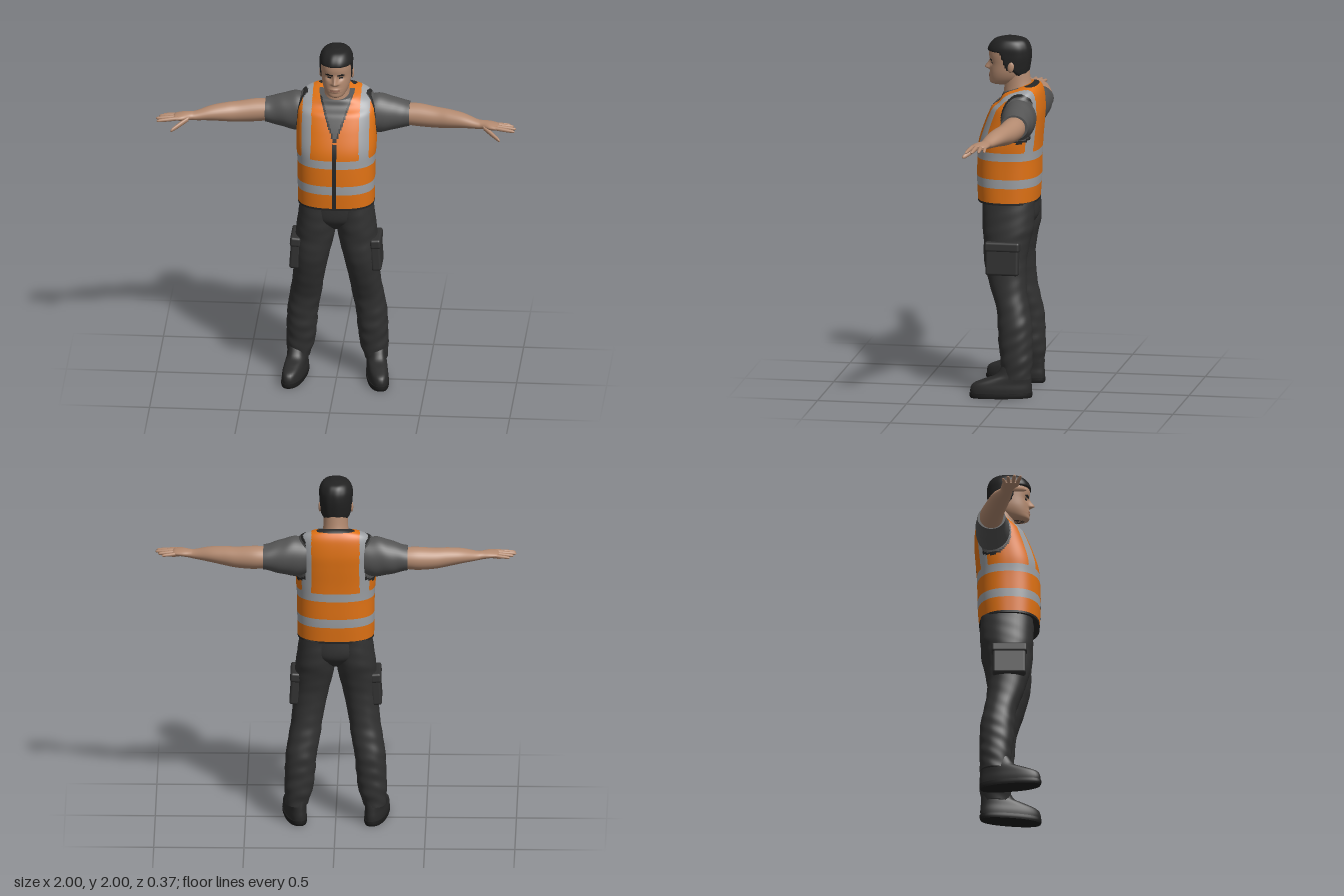
import * as THREE from 'three';
import { RoundedBoxGeometry } from 'three/addons/geometries/RoundedBoxGeometry.js';

const mat = (name, color) => {
  const m = new THREE.MeshStandardMaterial({ color });
  m.name = name;
  return m;
};
const gauss = (v, w) => Math.exp(-(v / w) * (v / w));
const smooth = THREE.MathUtils.smoothstep;

// Smooth closed body through rings [t, c1, c2, r1, r2] along the x or y axis.
// hook(p, centre, angle) reshapes points; pick(p) gives the material index of a face.
function loft(rings, { axis = 'y', seg = 32, rows = 32, n = 2, hook, pick } = {}) {
  const spline = new THREE.CubicInterpolant(rings.map((_, i) => i), rings.flat(), 5);
  const power = (v) => Math.sign(v) * Math.pow(Math.abs(v), 2 / n);
  const pts = [];
  const place = (t, u, v) => (axis === 'y' ? new THREE.Vector3(u, t, v) : new THREE.Vector3(t, u, v));
  const addRow = (k, size) => {
    const [t, c1, c2, r1, r2] = Array.from(spline.evaluate(k));
    const c = place(t, c1, c2);
    for (let j = 0; j < seg; j++) {
      const a = (j / seg) * Math.PI * 2;
      const p = place(t, c1 + size * r1 * power(Math.cos(a)), c2 + size * r2 * power(Math.sin(a)));
      if (hook) hook(p, c, a);
      pts.push(p);
    }
  };
  const last = rings.length - 1;
  addRow(0, 0);
  addRow(0, 1);
  for (let i = 0; i <= rows; i++) addRow((i / rows) * last, 1);
  addRow(last, 1);
  addRow(last, 0);

  const lists = [];
  const mid = new THREE.Vector3();
  for (let i = 0; i < rows + 4; i++) {
    for (let j = 0; j < seg; j++) {
      const a = i * seg + j, c = i * seg + ((j + 1) % seg), b = a + seg, d = c + seg;
      mid.copy(pts[a]).add(pts[b]).add(pts[c]).add(pts[d]).multiplyScalar(0.25);
      const list = (lists[pick ? pick(mid) : 0] ??= []);
      if (axis === 'y') list.push(a, b, c, b, d, c);
      else list.push(a, c, b, b, c, d);
    }
  }
  const g = new THREE.BufferGeometry().setFromPoints(pts);
  g.setIndex(lists.flat());
  let start = 0;
  if (pick) lists.forEach((l, m) => { g.addGroup(start, l.length, m); start += l.length; });
  g.computeVertexNormals();
  return g;
}

function mirrored(geometry) {
  const g = geometry.clone().scale(-1, 1, 1);
  if (!g.index) g.setIndex([...Array(g.attributes.position.count).keys()]);
  const ix = g.index.array;
  for (let i = 0; i < ix.length; i += 3) [ix[i], ix[i + 1]] = [ix[i + 1], ix[i]];
  return g;
}

export function createModel() {
  const model = new THREE.Group();
  model.name = 'worker';
  const orange = mat('vest orange', 0xe07214), silver = mat('reflective tape', 0x9c9fa3);
  const shirt = mat('shirt grey', 0x545454), trim = mat('dark trim', 0x262626);
  const skin = mat('skin', 0xb38a70), lips = mat('lips', 0x916553), hairMat = mat('hair', 0x222222);
  const cloth = mat('trouser cloth', 0x313131), leather = mat('boot leather', 0x2a2a2a), rubber = mat('sole rubber', 0x1d1d1d);

  const add = (name, g, m) => {
    const mesh = new THREE.Mesh(g, m);
    mesh.name = name;
    model.add(mesh);
  };
  const pair = (name, g, m) => {
    add('left' + name, g, m);
    add('right' + name, mirrored(g), m);
  };
  // ring from front and back z
  const fb = (y, front, back, rx) => [y, 0, (front + back) / 2, rx, (front - back) / 2];

  // Vest and shirt front: tape, trim, V-neck and armholes are faces of one body
  const vestColor = ({ x, y, z }) => {
    const ax = Math.abs(x);
    const hole = Math.hypot((z + 0.08) / 0.092, (y - 1.57) / 0.125);
    if (ax > 0.165 && hole < 1.1) return hole < 1 ? 2 : 3;
    if (z > -0.05 && y > 1.46) {
      const edge = 0.38 * (y - 1.46) - ax;
      if (edge > 0) return edge > 0.011 ? 2 : 3;
    }
    if (y > 1.733 || y < 1.086) return 3;
    if (z > 0 && ax < 0.008 && y < 1.47) return 3;
    if ((y > 1.327 && y < 1.379) || (y > 1.173 && y < 1.226)) return 1;
    return y > 1.35 && ax > 0.134 && ax < 0.187 ? 1 : 0;
  };
  add('vest', loft([
    fb(1.08, 0.178, -0.156, 0.212), fb(1.2, 0.184, -0.165, 0.214), fb(1.33, 0.182, -0.168, 0.216),
    fb(1.42, 0.174, -0.172, 0.222), fb(1.52, 0.142, -0.18, 0.222), fb(1.6, 0.108, -0.184, 0.222),
    fb(1.67, 0.072, -0.176, 0.212), fb(1.71, 0.052, -0.16, 0.19), fb(1.735, 0.045, -0.14, 0.135),
    fb(1.745, 0.04, -0.125, 0.098),
  ], {
    seg: 240, rows: 90, n: 2.5, pick: vestColor,
    hook: (p) => { p.y -= (p.z + 0.12) * 0.35 * smooth(p.y, 1.6, 1.74); },
  }), [orange, silver, shirt, trim]);

  // Short sleeves
  pair('Sleeve', loft([
    [0.16, 1.57, -0.08, 0.105, 0.09], [0.23, 1.572, -0.081, 0.112, 0.095], [0.3, 1.57, -0.085, 0.097, 0.089],
    [0.36, 1.568, -0.088, 0.078, 0.081], [0.4, 1.568, -0.088, 0.069, 0.077],
  ], { axis: 'x', seg: 40, rows: 24, hook: (p, c, a) => {
    p.sub(c).multiplyScalar(1 + 0.012 * Math.sin(c.x * 60 + 2 * a)).add(c);
  } }), shirt);

  // Arms, palms and fingers
  pair('Arm', loft([
    [0.36, 1.567, -0.088, 0.058, 0.062], [0.45, 1.563, -0.085, 0.064, 0.065], [0.55, 1.558, -0.068, 0.058, 0.06],
    [0.62, 1.56, -0.05, 0.052, 0.058], [0.7, 1.56, -0.03, 0.041, 0.052], [0.78, 1.552, -0.006, 0.026, 0.037],
    [0.81, 1.553, 0.002, 0.023, 0.035], [0.85, 1.555, 0.016, 0.021, 0.047], [0.89, 1.554, 0.024, 0.016, 0.046],
    [0.905, 1.552, 0.025, 0.009, 0.036],
  ], { axis: 'x', rows: 48 }), skin);
  const fingers = {
    Index: [[0.875, 1.556, 0.056], [0.995, 1.545, 0.076], 0.011],
    Middle: [[0.88, 1.557, 0.034], [1, 1.547, 0.042], 0.0115],
    Ring: [[0.88, 1.556, 0.011], [0.985, 1.547, 0.006], 0.011],
    Little: [[0.87, 1.553, -0.01], [0.965, 1.545, -0.022], 0.0095],
    Thumb: [[0.82, 1.548, 0.035], [0.915, 1.5, 0.106], 0.015],
  };
  for (const [name, [from, to, r]] of Object.entries(fingers)) {
    const ring = (t, k) => [...from.map((v, i) => v + (to[i] - v) * t), r * k, r * k];
    pair(name + 'Finger', loft([ring(0, 1), ring(0.45, 1), ring(0.85, 0.78), ring(0.96, 0.5), ring(1, 0.1)],
      { axis: 'x', seg: 14, rows: 14 }), skin);
  }

  // Neck
  add('neck', loft([
    fb(1.64, 0.04, -0.13, 0.085), fb(1.7, 0.04, -0.125, 0.073), fb(1.75, 0.035, -0.11, 0.068), fb(1.82, 0.03, -0.1, 0.066),
  ], { rows: 16 }), skin);

  // Head with nose, eye sockets and lips pushed from the surface
  const skull = [
    fb(1.728, 0.1, 0.01, 0.028), fb(1.74, 0.119, -0.03, 0.05), fb(1.765, 0.121, -0.07, 0.067),
    fb(1.8, 0.12, -0.09, 0.078), fb(1.85, 0.118, -0.1, 0.083), fb(1.9, 0.124, -0.105, 0.086),
    fb(1.94, 0.116, -0.1, 0.084), fb(1.972, 0.085, -0.078, 0.064), fb(1.988, 0.035, -0.03, 0.026),
  ];
  add('head', loft(skull, {
    seg: 108, rows: 90, n: 2.2,
    hook: (p) => {
      if (p.z < 0.05) return;
      const ax = Math.abs(p.x);
      const nose = smooth(p.y, 1.804, 1.82) * (1 - smooth(p.y, 1.818, 1.875));
      const width = 0.01 + 0.007 * gauss(p.y - 1.814, 0.012);
      p.z += 0.031 * nose * gauss(p.x, width);
      p.z -= 0.012 * gauss(ax - 0.033, 0.018) * gauss(p.y - 1.85, 0.014);
      p.z += 0.005 * gauss(p.x, 0.026) * (gauss(p.y - 1.784, 0.006) + gauss(p.y - 1.771, 0.006));
    },
    pick: ({ x, y, z }) => {
      if (z < 0.06) return 0;
      const ax = Math.abs(x);
      if (ax > 0.013 && ax < 0.052 && Math.abs(y - 1.871 + Math.abs(ax - 0.036) * 0.2) < 0.005) return 1;
      if (Math.hypot((ax - 0.033) / 0.012, (y - 1.85) / 0.0045) < 1) return 1;
      return ax < 0.026 && Math.abs(y - 1.777) < 0.005 ? 2 : 0;
    },
  }), [skin, hairMat, lips]);
  pair('Ear', new THREE.SphereGeometry(1, 16, 12).scale(0.01, 0.03, 0.018).rotateX(-0.15).translate(0.087, 1.838, -0.012), skin);

  // Hair: a fuller skull that sinks beneath the skin below the hairline
  add('hair', loft(skull, {
    seg: 80, rows: 72, n: 2.2,
    hook: (p, c) => {
      const line = 1.775 + 0.04 * smooth(p.z, -0.06, -0.01) + 0.1 * smooth(p.z, 0.01, 0.06);
      const cover = smooth(p.y, line - 0.006, line + 0.006);
      const size = 0.88 + cover * (0.2 + 0.008 * Math.sin(p.x * 130 + p.z * 40));
      p.x = c.x + (p.x - c.x) * size;
      p.z = c.z + (p.z - c.z) * size;
      p.y += 0.011 * smooth(p.y, 1.9, 1.98);
    },
  }), hairMat);

  // Trousers: hips, then creased legs
  add('hips', loft([
    fb(0.915, 0.05, -0.07, 0.04), fb(0.95, 0.1, -0.12, 0.1), fb(1.0, 0.138, -0.152, 0.18), fb(1.1, 0.148, -0.148, 0.202),
  ], { seg: 48, rows: 20, n: 2.3 }), cloth);
  pair('TrouserLeg', loft([
    [0.11, 0.216, -0.066, 0.062, 0.08], [0.2, 0.204, -0.067, 0.079, 0.088], [0.3, 0.197, -0.06, 0.084, 0.094],
    [0.4, 0.19, -0.055, 0.086, 0.095], [0.5, 0.173, -0.04, 0.088, 0.091], [0.6, 0.158, -0.015, 0.087, 0.1],
    [0.75, 0.137, 0.008, 0.097, 0.118], [0.87, 0.119, 0.002, 0.108, 0.13], [0.95, 0.111, -0.003, 0.108, 0.143],
    [1.09, 0.099, -0.003, 0.1, 0.145],
  ], {
    seg: 44, rows: 84, n: 2.2,
    hook: (p, c, a) => {
      const amount = 0.008 + 0.022 * (1 - smooth(p.y, 0.15, 0.65));
      const fold = Math.sin(p.y * 75 + 3 * Math.sin(a)) * Math.sin(2 * a + p.y * 14);
      p.sub(c).multiplyScalar(1 + amount * fold).add(c);
    },
  }), cloth);

  // Cargo pockets with flaps
  const pocket = (w, h, d, x, y) => new RoundedBoxGeometry(w, h, d, 3, 0.014).rotateZ(0.07).translate(x, y, 0.01);
  pair('CargoPocket', pocket(0.055, 0.17, 0.185, 0.224, 0.775), cloth);
  pair('PocketFlap', pocket(0.06, 0.055, 0.198, 0.222, 0.85), cloth);

  // Boots, toes turned outward
  const toeOut = (p) => { p.x += (p.z - 0.01) * 0.17; };
  const boot = (y, front, back, rx) => [y, 0.227, (front + back) / 2, rx, (front - back) / 2];
  pair('Boot', loft([
    boot(0.02, 0.182, -0.15, 0.056), boot(0.05, 0.184, -0.152, 0.058), boot(0.08, 0.168, -0.15, 0.056),
    boot(0.105, 0.11, -0.148, 0.055), boot(0.13, 0.045, -0.145, 0.054), boot(0.18, 0.01, -0.14, 0.052),
  ], { seg: 40, rows: 24, n: 2.4, hook: toeOut }), leather);
  pair('BootSole', loft([
    boot(0, 0.182, -0.15, 0.058), boot(0.012, 0.188, -0.155, 0.061), boot(0.028, 0.188, -0.155, 0.061),
  ], { seg: 40, rows: 6, n: 2.4, hook: toeOut }), rubber);

  return model;
}
